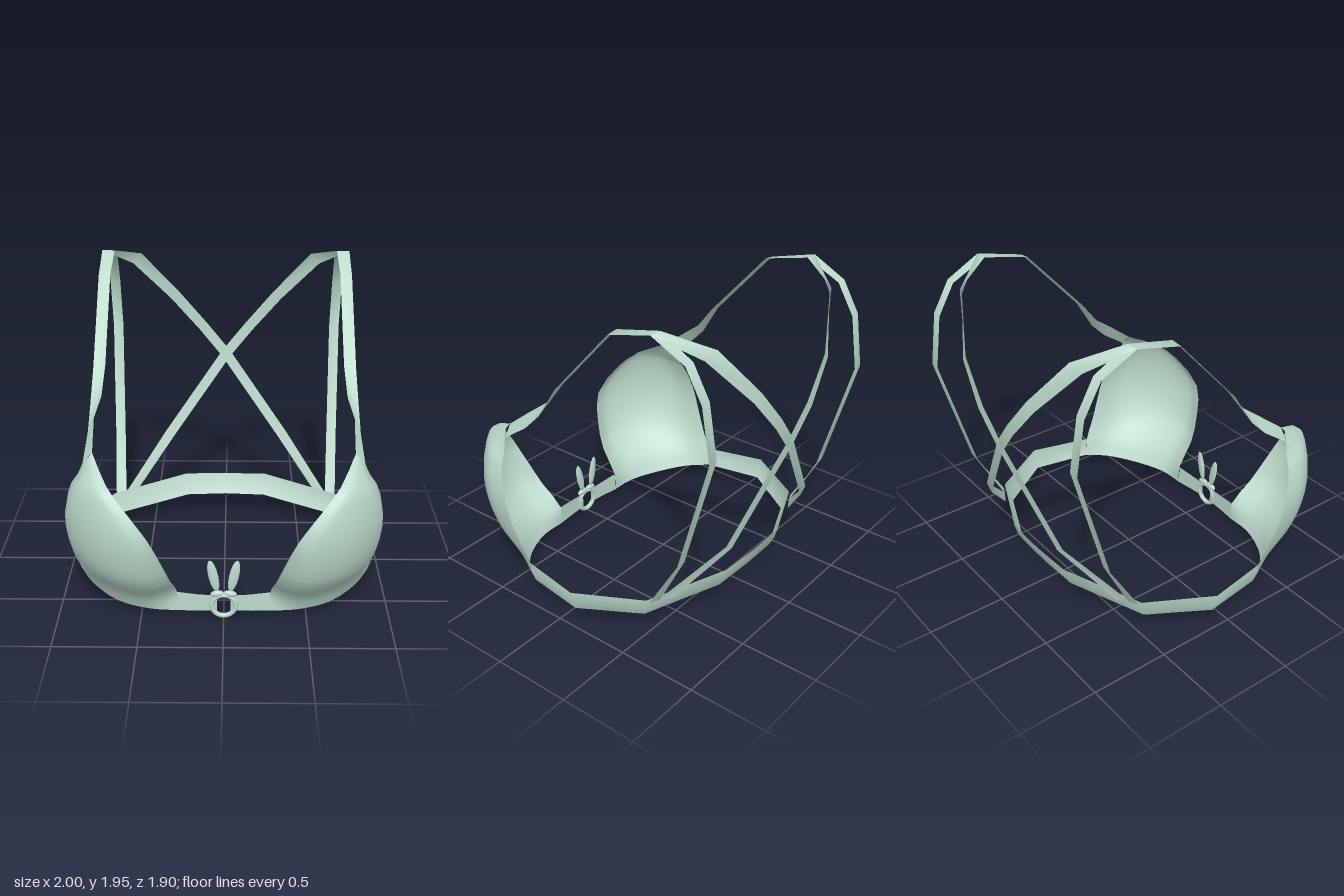
import * as THREE from 'three';

const fabric = new THREE.MeshStandardMaterial({ color: 0xbcdccc, side: THREE.DoubleSide });
fabric.name = 'pale mint fabric';

const V = (p, s = 1) => new THREE.Vector3(p[0] * s, p[1], p[2]);

// Smooth open surface through a grid of points (rows of equal length)
function sheet(name, rows) {
  const n = rows[0].length, pos = [], idx = [];
  rows.forEach(r => r.forEach(p => pos.push(p.x, p.y, p.z)));
  for (let i = 0; i < rows.length - 1; i++) {
    for (let j = 0; j < n - 1; j++) {
      const a = i * n + j, b = a + 1, c = a + n, d = c + 1;
      idx.push(a, b, c, b, d, c);
    }
  }
  const g = new THREE.BufferGeometry();
  g.setAttribute('position', new THREE.Float32BufferAttribute(pos, 3));
  g.setIndex(idx);
  g.computeVertexNormals();
  const m = new THREE.Mesh(g, fabric);
  m.name = name;
  return m;
}

// Flat strap: each station is a centre and a half-width vector
function strap(name, stations, s) {
  return sheet(name, stations.map(([c, w]) => {
    const p = V(c, s), o = V(w, s);
    return [p.clone().sub(o), p.clone().add(o)];
  }));
}

// Cup cross-sections from the underband up, each from neckline to armhole
const cupRows = [
  [[.28, .04, .67], [.45, .045, .66], [.65, .05, .58], [.82, .08, .43], [.905, .1, .29]],
  [[.28, .17, .67], [.45, .17, .72], [.66, .18, .65], [.84, .2, .49], [.92, .225, .31]],
  [[.31, .32, .8], [.47, .31, .86], [.7, .32, .78], [.88, .33, .58], [.935, .35, .37]],
  [[.36, .5, .89], [.5, .48, .925], [.73, .48, .84], [.91, .49, .64], [.95, .5, .43]],
  [[.43, .68, .94], [.54, .68, .945], [.74, .68, .86], [.92, .67, .66], [.945, .67, .48]],
  [[.58, .86, .87], [.66, .86, .87], [.77, .86, .8], [.87, .85, .68], [.9, .83, .53]],
  [[.66, .94, .79], [.72, .94, .79], [.78, .93, .74], [.83, .92, .67], [.855, .9, .55]],
  [[.76, 1.05, .58], [.775, 1.035, .59], [.79, 1.02, .59], [.805, 1, .58], [.82, .98, .57]],
];

function cup(s) {
  const across = cupRows.map(r => new THREE.CatmullRomCurve3(r.map(p => V(p, s))).getPoints(12));
  const columns = across[0].map((_, j) =>
    new THREE.CatmullRomCurve3(across.map(r => r[j])).getPoints(14));
  return sheet('cup', columns);
}

// Back band stations: top edge, bottom edge
const bandHalf = [
  [[.92, .225, .31], [.905, .1, .29]],
  [[1, .243, -.1], [.965, .11, -.1]],
  [[.77, .235, -.49], [.74, .1, -.45]],
  [[.28, .28, -.715], [.27, .14, -.66]],
  [[0, .28, -.725], [0, .145, -.67]],
];

function band() {
  const half = s => bandHalf.map(([t, b]) => {
    const top = V(t, s), bottom = V(b, s);
    const mid = top.clone().lerp(bottom, .5);
    mid.x *= 1.012;
    mid.z *= 1.012;
    return [top, mid, bottom];
  });
  return sheet('backBand', [...half(1), ...half(-1).reverse().slice(1)]);
}

const frontStrap = [
  [[.79, 1.015, .575], [.03, -.035, -.005]],
  [[.785, 1.145, .4], [.02, -.045, 0]],
  [[.765, 1.245, .285], [.035, -.035, .005]],
  [[.75, 1.425, .16], [.036, -.005, 0]],
  [[.745, 1.875, -.25], [.036, -.004, 0]],
  [[.75, 1.95, -.55], [.04, 0, 0]],
];
const backStrap = [
  [[.75, 1.95, -.55], [.04, 0, 0]],
  [[.75, 1.84, -.77], [.034, 0, 0]],
  [[.752, 1.65, -.88], [.033, 0, 0]],
  [[.748, 1.32, -.93], [.033, 0, 0]],
  [[.74, .58, -.72], [.033, 0, 0]],
  [[.73, .22, -.52], [.033, 0, .015]],
];
const crossStrap = [
  [[.75, 1.95, -.55], [.04, 0, 0]],
  [[.59, 1.835, -.79], [.027, -.028, .02]],
  [[.35, 1.54, -.93], [.027, -.023, .005]],
  [[.16, 1.31, -.953], [.027, -.022, 0]],
  [[0, 1.115, -.935], [.027, -.022, 0]],
  [[-.4, .55, -.81], [.028, -.02, 0]],
  [[-.66, .22, -.555], [.028, -.015, -.015]],
];

// Flattened ellipsoid used for the little bow
function petal(name, x, y, z, rx, ry, rz, tilt) {
  const m = new THREE.Mesh(new THREE.SphereGeometry(1, 12, 8), fabric);
  m.name = name;
  m.position.set(x, y, z);
  m.scale.set(rx, ry, rz);
  m.rotation.z = tilt;
  return m;
}

export function createModel() {
  const model = new THREE.Group();
  model.name = 'strappyTop';
  model.add(band());
  for (const s of [1, -1]) {
    const side = new THREE.Group();
    side.name = s > 0 ? 'leftSide' : 'rightSide';
    side.add(
      cup(s),
      strap('frontStrap', frontStrap, s),
      strap('backStrap', backStrap, s),
      strap('crossStrap', crossStrap, s),
      // Bridge from the cup to the centre ring
      sheet('frontBridge', [[.28, .17, .04, .67], [.16, .16, .045, .68], [.04, .155, .05, .685]]
        .map(([x, t, b, z]) => [V([x, t, z], s), V([x, b, z], s)])),
      petal('bowLoop', .062 * s, .29, .685, .03, .11, .012, -.2 * s),
      petal('bowKnot', .04 * s, .172, .69, .042, .02, .018, -.15 * s),
    );
    model.add(side);
  }
  // Centre ring joining the bridges
  const ring = new THREE.Mesh(new THREE.TorusGeometry(.072, .015, 8, 20), fabric);
  ring.name = 'centreRing';
  ring.position.set(0, .09, .69);
  model.add(ring);
  return model;
}
